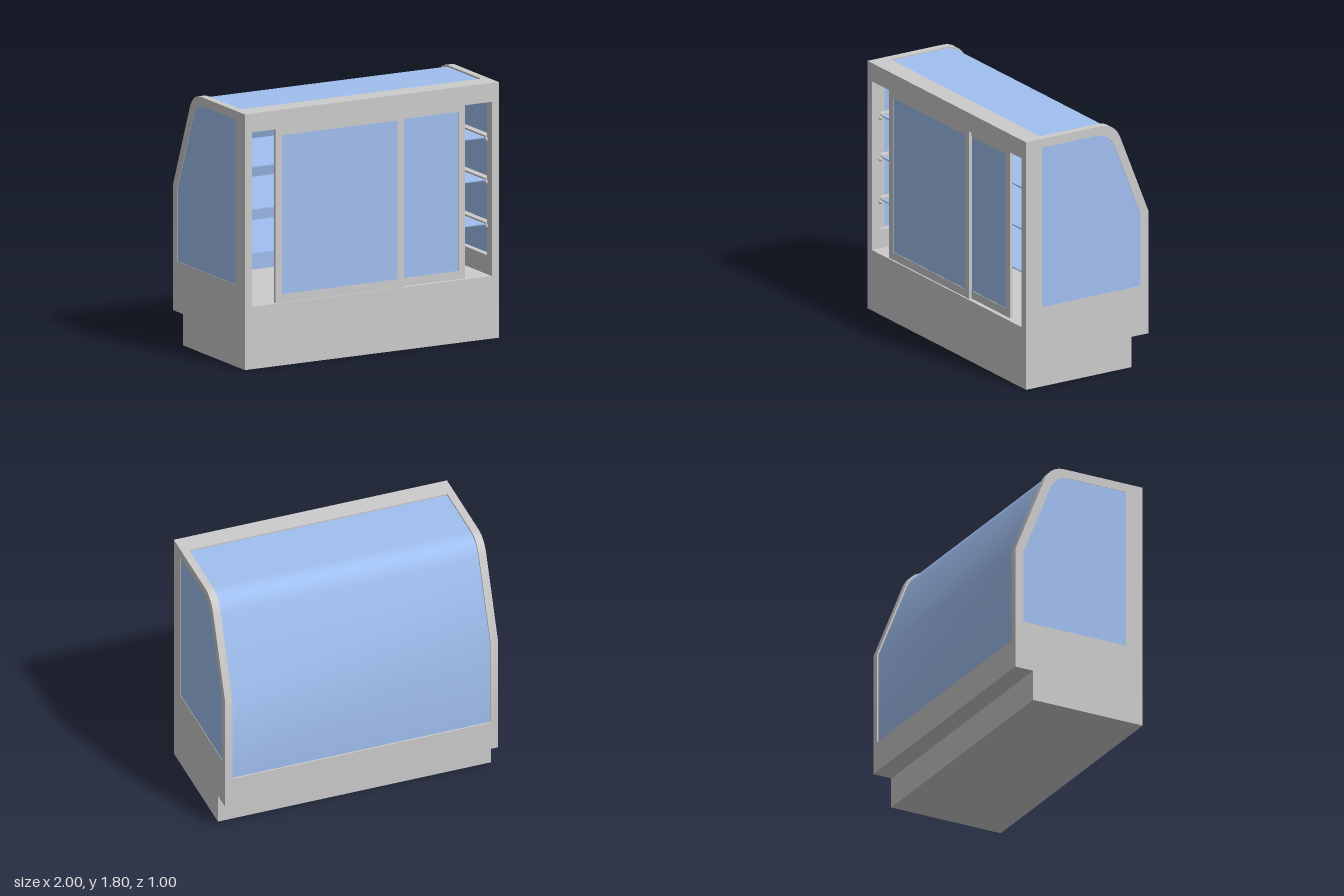
import * as THREE from 'three';
import { toCreasedNormals } from 'three/addons/utils/BufferGeometryUtils.js';

const metal = new THREE.MeshStandardMaterial({ color: 0xcccccc });
const glass = new THREE.MeshStandardMaterial({ color: 0xa0bff0, side: THREE.DoubleSide });

// Back-and-roof profile in (z, y), moved inwards by i, from the foot of the back to the front of the roof
function canopyPoints(i, bottom, front) {
  const top = 1.8 - i;
  const bend = -0.226 + 0.68 * i;
  const curve = new THREE.QuadraticBezierCurve(
    new THREE.Vector2(bend - 0.046, top - 0.115),
    new THREE.Vector2(bend, top),
    new THREE.Vector2(bend + 0.115, top));
  return [
    new THREE.Vector2(-0.5 + i, bottom),
    new THREE.Vector2(-0.5 + i, 1.11 - 0.19 * i),
    ...curve.getPoints(12),
    new THREE.Vector2(front, top),
  ];
}

// Closed outline of a side: canopy profile plus the lower front corner
function sideOutline(i, bottom, front) {
  return [...canopyPoints(i, bottom, front), new THREE.Vector2(front, bottom)];
}

// Extrudes a (z, y) shape along x, centred on x
function extrudeX(shape, width, x = 0) {
  const geo = new THREE.ExtrudeGeometry(shape, { depth: width, bevelEnabled: false });
  geo.rotateY(-Math.PI / 2).translate(x + width / 2, 0, 0);
  return toCreasedNormals(geo, 0.5);
}

// Side ring whose opening reaches forward to holeFront
function sideRing(holeFront, width, x) {
  const ring = new THREE.Shape(sideOutline(0, 0.44, 0.5));
  ring.holes.push(new THREE.Path(sideOutline(0.063, 0.575, holeFront).reverse()));
  return extrudeX(ring, width, x);
}

function add(parent, name, geo, material) {
  const mesh = new THREE.Mesh(geo, material);
  mesh.name = name;
  parent.add(mesh);
  return mesh;
}

// Box given by its limits on each axis
function addBox(parent, name, [x0, x1], [y0, y1], [z0, z1], material = metal) {
  const mesh = add(parent, name, new THREE.BoxGeometry(x1 - x0, y1 - y0, z1 - z0), material);
  mesh.position.set((x0 + x1) / 2, (y0 + y1) / 2, (z0 + z1) / 2);
}

// Rectangle corners, counter-clockwise
function rectangle(x0, x1, y0, y1) {
  return [[x0, y0], [x1, y0], [x1, y1], [x0, y1]].map(p => new THREE.Vector2(...p));
}

// Framed glass sliding door
function slidingDoor(name, x0, x1, z0, z1) {
  const door = new THREE.Group();
  door.name = name;
  const shape = new THREE.Shape(rectangle(x0, x1, 0.44, 1.667));
  shape.holes.push(new THREE.Path(rectangle(x0 + 0.05, x1 - 0.05, 0.497, 1.617).reverse()));
  const frame = new THREE.ExtrudeGeometry(shape, { depth: z1 - z0, bevelEnabled: false });
  add(door, 'doorFrame', frame.translate(0, 0, z0), metal);
  addBox(door, 'doorGlass', [x0 + 0.05, x1 - 0.05], [0.497, 1.617], [z0 + 0.005, z1 - 0.004], glass);
  return door;
}

export function createModel() {
  const model = new THREE.Group();
  model.name = 'displayCase';

  // Base cabinet with a recess under the back
  const base = new THREE.Shape([
    [0.5, 0], [0.5, 0.44], [-0.5, 0.44], [-0.5, 0.22], [-0.36, 0.22], [-0.36, 0],
  ].map(p => new THREE.Vector2(...p)));
  add(model, 'base', extrudeX(base, 2), metal);

  // Side frames, rebated on the inside, with nearly flush glass
  for (const s of [1, -1]) {
    const name = s > 0 ? 'left' : 'right';
    add(model, name + 'SideFrame', sideRing(0.37, 0.015, s * 0.9925), metal);
    add(model, name + 'SideFrameInner', sideRing(0.43, 0.04, s * 0.965), metal);
    const pane = new THREE.Shape(sideOutline(0.063, 0.575, 0.37));
    add(model, name + 'SideGlass', extrudeX(pane, 0.01, s * 0.992), glass);
  }

  // Curved glass over the back and the roof
  const sheet = new THREE.Shape([
    ...canopyPoints(0.012, 0.44, 0.35),
    ...canopyPoints(0.02, 0.44, 0.35).reverse(),
  ]);
  add(model, 'canopyGlass', extrudeX(sheet, 1.89), glass);

  // Header above the doors
  addBox(model, 'header', [-0.945, 0.945], [1.667, 1.8], [0.35, 0.5]);

  // Sliding doors, one running behind the other
  model.add(slidingDoor('frontSlidingDoor', -0.75, 0.26, 0.468, 0.488));
  model.add(slidingDoor('rearSlidingDoor', 0.21, 0.75, 0.448, 0.468));

  // Glass shelves on side brackets
  for (const [y, back] of [[0.79, -0.46], [1.1, -0.44], [1.4, -0.33]]) {
    addBox(model, 'shelf', [-0.945, 0.945], [y - 0.004, y + 0.004], [back, 0.42], glass);
    for (const s of [1, -1]) {
      const sides = [s * 0.985, s * 0.935].sort((a, b) => a - b);
      addBox(model, 'shelfBracket', sides, [y - 0.01, y + 0.016], [back, 0.43]);
      const knob = add(model, 'bracketEnd', new THREE.SphereGeometry(0.016, 12, 8), metal);
      knob.position.set(s * 0.948, y - 0.012, 0.43);
    }
  }
  return model;
}
